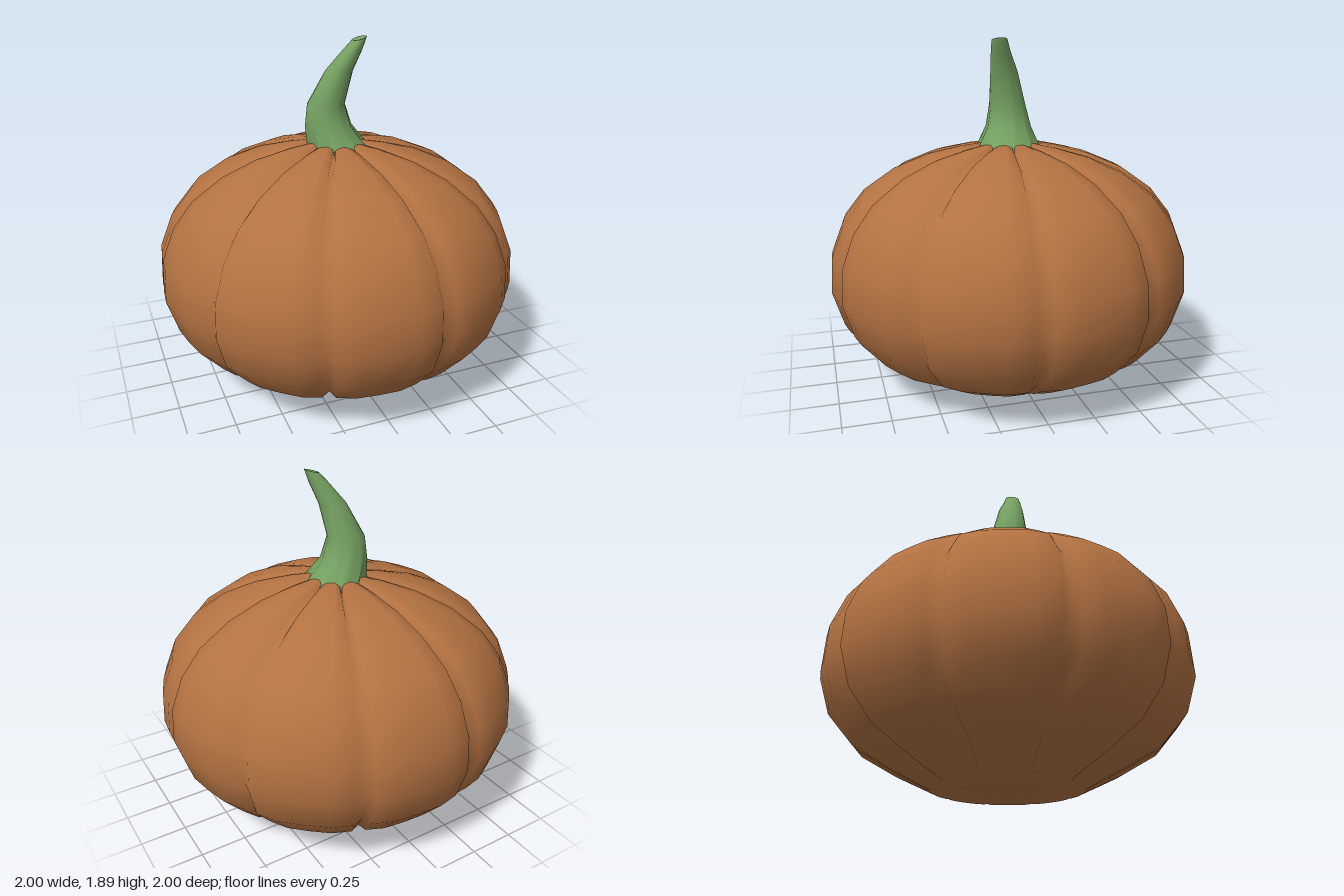
import * as THREE from 'three';

// Skin closed rings (bottom to top), closing both ends with a fan
function loft(rings, bottom, top) {
  const n = rings[0].length, pos = [], idx = [];
  rings.forEach(r => r.forEach(p => pos.push(...p)));
  const b = rings.length * n, t = b + 1;
  pos.push(...bottom, ...top);
  for (let i = 0; i < n; i++) {
    const j = (i + 1) % n, last = (rings.length - 1) * n;
    for (let k = 0; k < rings.length - 1; k++) {
      const a = k * n + i, c = k * n + j;
      idx.push(a, a + n, c, c, a + n, c + n);
    }
    idx.push(b, i, j, t, last + j, last + i);
  }
  const g = new THREE.BufferGeometry();
  g.setAttribute('position', new THREE.Float32BufferAttribute(pos, 3));
  g.setIndex(idx);
  g.computeVertexNormals();
  return g;
}

const LOBES = 10, START = THREE.MathUtils.degToRad(5.7), STEP = Math.PI * 2 / LOBES;

// Ribbed body: one narrow groove between each pair of flattish lobes
function bodyGeometry() {
  const profile = [[0.41, 0], [0.62, 0.10], [0.81, 0.21], [0.94, 0.36], [1.0, 0.55], [0.99, 0.74],
    [0.92, 0.92], [0.81, 1.06], [0.64, 1.18], [0.45, 1.26], [0.26, 1.305], [0.13, 1.325]];
  // [fraction across the lobe, groove depth, radius factor]
  const section = [[0, 1, 0.99], [0.07, 0.15, 0.995], [0.27, 0, 1.0], [0.5, 0, 0.995], [0.73, 0, 1.0], [0.93, 0.15, 0.995]];
  const rings = profile.map(([r, y], k) => {
    const a = profile[Math.max(k - 1, 0)], c = profile[Math.min(k + 1, profile.length - 1)];
    const len = Math.hypot(c[0] - a[0], c[1] - a[1]);
    const nr = (c[1] - a[1]) / len, ny = (a[0] - c[0]) / len;   // outward normal of the profile
    const ring = [];
    for (let l = 0; l < LOBES; l++) for (const [f, d, s] of section) {
      const t = START + (l + f) * STEP, depth = 0.035 * d;
      const rr = r * s - nr * depth, yy = k === 0 ? 0 : Math.max(0, y - ny * depth);
      ring.push([rr * Math.cos(t), yy, rr * Math.sin(t)]);
    }
    return ring;
  });
  return loft(rings, [0, 0, 0], [0, 1.28, 0]);
}

// Curved, tapering stem whose foot flares into the grooves
function stemGeometry() {
  // [y, centre x, centre z, radius x, radius z, ridge depth]
  const rows = [[1.26, 0.03, 0, 0.185, 0.20, 0.14], [1.32, 0.0, 0, 0.155, 0.165, 0.10],
    [1.41, -0.038, -0.012, 0.128, 0.125, 0.05], [1.53, -0.052, -0.01, 0.104, 0.10, 0.02],
    [1.71, 0.01, 0.025, 0.073, 0.075, 0], [1.82, 0.072, 0.06, 0.05, 0.053, 0], [1.88, 0.104, 0.075, 0.038, 0.042, 0]];
  const rings = rows.map(([y, cx, cz, rx, rz, ridge], k) => {
    const ring = [];
    for (let i = 0; i < LOBES * 2; i++) {
      const t = START + i * STEP / 2, s = 1 + (i % 2 ? -ridge : ridge * 0.4);
      const tilt = k === rows.length - 1 ? -0.01 * Math.cos(t) : 0;
      ring.push([cx + rx * s * Math.cos(t), y - tilt, cz + rz * s * Math.sin(t)]);
    }
    return ring;
  });
  // Inner copy of the tip ring gives the cut end a crisp rim
  rings.push(rings[rings.length - 1].map(([x, y, z]) => [0.104 + (x - 0.104) * 0.9, y, 0.075 + (z - 0.075) * 0.9]));
  return loft(rings, [0.03, 1.26, 0], [0.104, 1.875, 0.075]);
}

export function createModel() {
  const orange = new THREE.MeshStandardMaterial({ color: 0xb37242 });
  orange.name = 'burnt orange';
  const green = new THREE.MeshStandardMaterial({ color: 0x76a262 });
  green.name = 'stem green';

  const group = new THREE.Group();
  group.name = 'pumpkin';
  const body = new THREE.Mesh(bodyGeometry(), orange);
  body.name = 'body';
  const stem = new THREE.Mesh(stemGeometry(), green);
  stem.name = 'stem';
  group.add(body, stem);
  return group;
}
